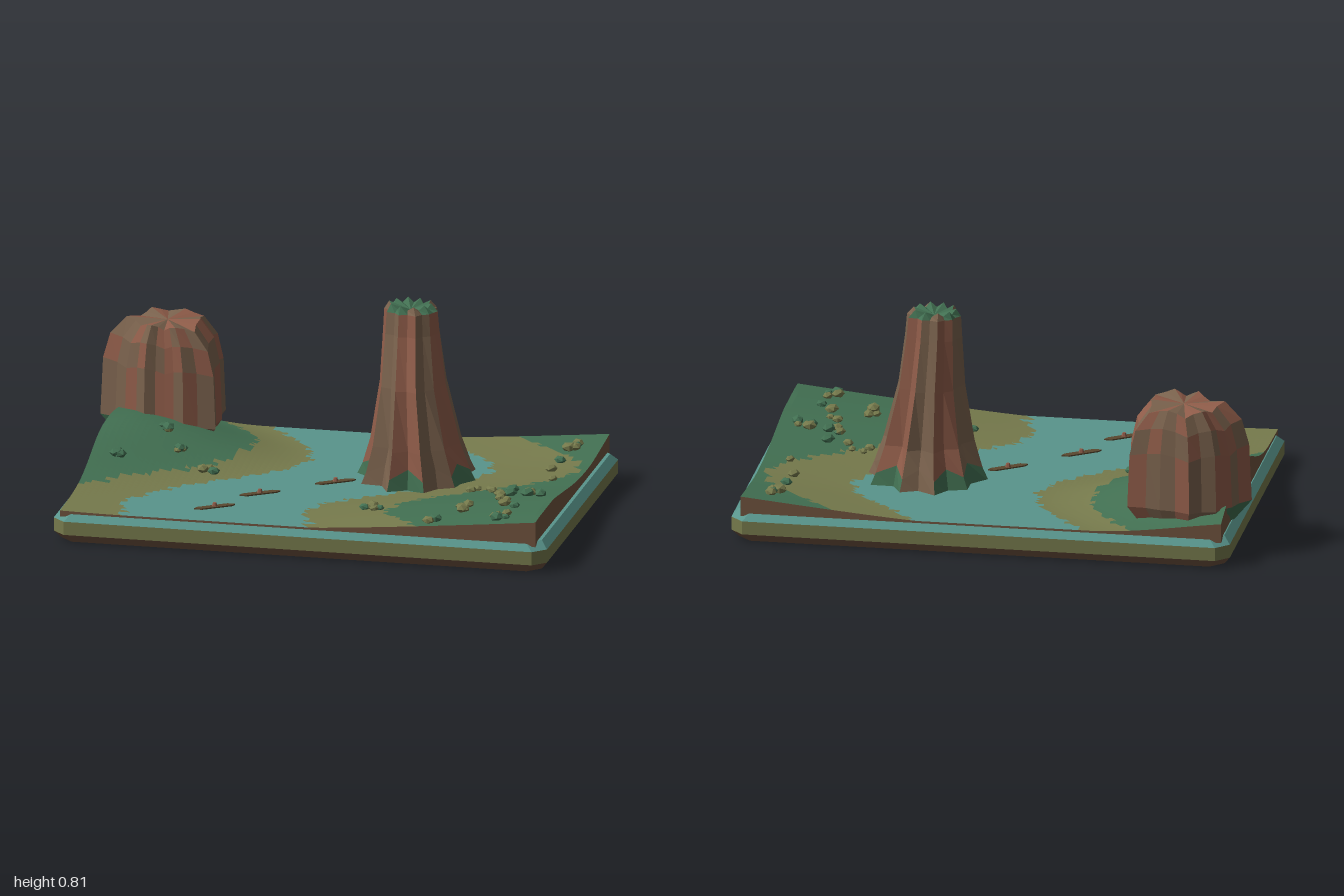
import * as THREE from 'three';

const mat = (name, color) => {
  const m = new THREE.MeshStandardMaterial({ color, flatShading: true });
  m.name = name;
  return m;
};
const water = mat('water teal', 0x59958c), grass = mat('grass green', 0x427052), sand = mat('bank olive', 0x767a4c);
const earth = mat('earth brown', 0x70533f), wood = mat('wood brown', 0x5a482f);
const rockRed = mat('rock red', 0x8f5c49), rockBrown = mat('rock brown', 0x7a624d);

let seed = 11;
const rand = () => (seed = (seed * 16807) % 2147483647) / 2147483647;
const V = (x, y, z) => new THREE.Vector3(x, y, z);

// Collects faces per material and turns them into one faceted mesh
class Facets {
  constructor() { this.faces = new Map(); }
  tri(m, ...pts) {
    if (!this.faces.has(m)) this.faces.set(m, []);
    for (const p of pts) this.faces.get(m).push(p.x, p.y, p.z);
  }
  quad(m, a, b, c, d) { this.tri(m, a, b, c); this.tri(m, a, c, d); }
  // Skin between rings of points, from bottom to top
  loft(rings, pick) {
    for (let i = 0; i < rings.length - 1; i++) {
      const lo = rings[i], up = rings[i + 1], n = lo.length;
      for (let j = 0; j < n; j++) {
        const k = (j + 1) % n;
        this.quad(pick(i, j), lo[j], up[j], up[k], lo[k]);
      }
    }
  }
  cap(ring, center, pick, top) {
    ring.forEach((p, j) => {
      const q = ring[(j + 1) % ring.length];
      this.tri(pick(j), center, top ? q : p, top ? p : q);
    });
  }
  mesh(name) {
    const g = new THREE.BufferGeometry(), all = [], mats = [];
    for (const [m, list] of this.faces) {
      g.addGroup(all.length / 3, list.length / 3, mats.length);
      mats.push(m);
      for (const v of list) all.push(v);
    }
    g.setAttribute('position', new THREE.Float32BufferAttribute(all, 3));
    g.computeVertexNormals();
    const mesh = new THREE.Mesh(g, mats);
    mesh.name = name;
    return mesh;
  }
}

// Bank lines: x of each colour boundary along z, evenly spaced from back to front
const X0 = -0.92, X1 = 0.96, Z = 0.647;
const line = xs => {
  const c = new THREE.CatmullRomCurve3(xs.map((x, i) => V(x, 0, i)));
  return z => c.getPoint(THREE.MathUtils.clamp((z + Z) / (2 * Z), 0, 1)).x;
};
const leftGrass = line([-0.58, -0.42, -0.37, -0.4, -0.5, -0.72, -0.9, -1.02, -1.05]);
const leftWater = line([-0.4, -0.24, -0.15, -0.16, -0.3, -0.48, -0.63, -0.7, -0.67]);
const rightWater = line([0.27, 0.43, 0.57, 0.56, 0.44, 0.24, 0.06, 0.02, 0.07]);
const rightGrass = line([0.58, 0.78, 0.91, 0.9, 0.73, 0.52, 0.36, 0.35, 0.5]);

function groundHeight(x, z) {
  const l = leftWater(z) - x, r = x - rightWater(z);
  if (l > 0) return 0.12 + 0.135 * THREE.MathUtils.smoothstep(l, 0, 0.72) * Math.exp(-(((z + 0.2) / 0.55) ** 2));
  if (r > 0) return 0.12 + 0.082 * Math.pow(Math.min(r / 0.92, 1), 1.15);
  return 0.12;
}

// Base slab with cut corners and bevelled top and bottom edges
function plinth() {
  const f = new Facets();
  const ring = ([y, inset]) => {
    const a = 0.975 - inset, b = 0.67 - inset, c = 0.05;
    return [[a, -b + c], [a, b - c], [a - c, b], [-a + c, b], [-a, b - c], [-a, -b + c], [-a + c, -b], [a - c, -b]]
      .map(([x, z]) => V(x + 0.025, y, z));
  };
  const rings = [[0, 0.026], [0.033, 0], [0.086, 0], [0.115, 0.026]].map(ring);
  f.loft(rings, i => [earth, sand, water][i]);
  f.cap(rings[0], V(0.025, 0, 0), () => earth, false);
  f.cap(rings[3], V(0.025, 0.115, 0), () => water, true);
  return f.mesh('plinth');
}

function terrain() {
  const f = new Facets(), nx = 84, nz = 56;
  const P = (i, j) => {
    const x = X0 + (X1 - X0) * i / nx, z = -Z + 2 * Z * j / nz;
    return V(x, groundHeight(x, z), z);
  };
  const grid = Array.from({ length: nx + 1 }, (_, i) => Array.from({ length: nz + 1 }, (_, j) => P(i, j)));
  // Ragged offset of the bank lines in each row
  const teeth = Array.from({ length: nz }, () => (rand() - 0.5) * 0.05);
  const face = (j, a, b, c) => {
    const x = (a.x + b.x + c.x) / 3 + teeth[j], z = (a.z + b.z + c.z) / 3;
    const m = x < leftGrass(z) || x > rightGrass(z) ? grass : x < leftWater(z) || x > rightWater(z) ? sand : water;
    f.tri(m, a, b, c);
  };
  for (let i = 0; i < nx; i++) for (let j = 0; j < nz; j++) {
    const a = grid[i][j], b = grid[i + 1][j], c = grid[i + 1][j + 1], d = grid[i][j + 1];
    face(j, a, d, c);
    face(j, a, c, b);
  }
  // Cut earth walls around the edge
  const low = p => V(p.x, 0.1, p.z);
  const wall = (a, b) => f.quad(earth, low(a), low(b), b, a);
  for (let i = 0; i < nx; i++) {
    wall(grid[i][nz], grid[i + 1][nz]);
    wall(grid[i + 1][0], grid[i][0]);
  }
  for (let j = 0; j < nz; j++) {
    wall(grid[nx][j + 1], grid[nx][j]);
    wall(grid[0][j], grid[0][j + 1]);
  }
  return f.mesh('riverValley');
}

// Tall fluted spire standing at the river bend
function spire() {
  const f = new Facets(), n = 20;
  // height, x radius, z radius, centre x, centre z
  const levels = [[0.11, 0.23, 0.235, 0.325, -0.115], [0.165, 0.205, 0.215, 0.325, -0.11], [0.27, 0.172, 0.19, 0.322, -0.1],
    [0.5, 0.126, 0.148, 0.308, -0.11], [0.7, 0.108, 0.1, 0.297, -0.13], [0.785, 0.102, 0.086, 0.295, -0.132], [0.815, 0.08, 0.068, 0.29, -0.135]];
  const wobble = Array.from({ length: n }, () => 0.96 + rand() * 0.12);
  const rings = levels.map(([y, rx, rz, cx, cz], i) => wobble.map((w, j) => {
    const a = j / n * Math.PI * 2, s = w * (j % 2 ? (i < 3 ? 0.8 : 0.87) : 1);
    const dy = i === 6 && j % 2 ? -0.018 : i === 1 && j % 2 ? 0.035 : 0;
    return V(cx + Math.cos(a) * s * rx, y + dy, cz + Math.sin(a) * s * rz);
  }));
  f.loft(rings, (i, j) => i === 5 ? (j % 5 < 3 ? grass : rockBrown)
    : i === 0 && (j % 4 < 2 || j === 10 || j === 11) ? grass : j % 4 < 2 ? rockRed : rockBrown);
  f.cap(rings[6], V(0.29, 0.785, -0.135), () => grass, true);
  return f.mesh('rockSpire');
}

// Broad butte in the back corner
function butte() {
  const f = new Facets();
  const corners = [[0.215, 0], [0.22, 0.14], [0.1, 0.17], [0.02, 0.145], [-0.06, 0.155], [-0.15, 0.09], [-0.26, 0.03],
    [-0.2, -0.07], [-0.15, -0.14], [-0.05, -0.18], [0.07, -0.15], [0.2, -0.13]];
  // Shallow flutes between the corners
  const outline = corners.flatMap((p, j) => {
    const q = corners[(j + 1) % corners.length];
    return [p, [(p[0] + q[0]) * 0.475, (p[1] + q[1]) * 0.475]];
  });
  const levels = [[0.12, 0.74, 0.8], [0.2, 1, 1], [0.42, 0.96, 0.97], [0.52, 0.85, 0.93], [0.59, 0.6, 0.82]];
  const rings = levels.map(([y, sx, sz], i) => outline.map(([x, z], j) =>
    V(-0.74 + x * sx, y + (i > 1 ? [0.008, 0, -0.012, 0][j % 4] : 0), -0.44 + z * sz)));
  const pattern = [rockRed, rockBrown, rockBrown, rockRed, rockBrown, rockRed, rockRed, rockBrown, rockBrown];
  f.loft(rings, (i, j) => i === 0 && j > 9 && j < 16 ? grass : pattern[(j + (i === 2 ? 1 : 0)) % 9]);
  f.cap(rings[0], V(-0.74, 0.12, -0.44), () => grass, false);
  f.cap(rings[4], V(-0.74, 0.588, -0.44), j => j % 4 < 2 ? rockRed : rockBrown, true);
  return f.mesh('rockButte');
}

function bushes() {
  const g = new THREE.Group();
  g.name = 'bushes';
  const ball = new THREE.IcosahedronGeometry(1, 0);
  // x, z, how many in the clump
  const clumps = [[0.87, -0.52, 4], [0.83, -0.36, 1], [0.82, -0.25, 1], [0.86, -0.1, 1], [0.6, 0.08, 2], [0.69, 0.1, 2], [0.75, 0.12, 1],
    [0.72, 0.21, 4], [0.86, 0.22, 4], [0.75, 0.3, 2], [0.25, 0.42, 4], [0.61, 0.42, 2], [0.67, 0.46, 2], [0.81, 0.41, 3],
    [0.79, 0.56, 4], [0.57, 0.6, 2], [-0.71, -0.16, 4], [-0.62, -0.07, 4], [-0.49, 0.03, 3], [-0.81, 0.08, 2]];
  for (const [cx, cz, n] of clumps) for (let i = 0; i < n; i++) {
    const x = cx + (n > 1 ? (rand() - 0.5) * 0.085 : 0), z = cz + (n > 1 ? (rand() - 0.5) * 0.06 : 0);
    const r = 0.015 + rand() * 0.013;
    const b = new THREE.Mesh(ball, rand() < 0.5 ? grass : sand);
    b.name = 'bush';
    b.position.set(x, groundHeight(x, z) + r * 0.4, z);
    b.scale.set(r * 1.15, r * 0.75, r);
    b.rotation.y = rand() * 6;
    g.add(b);
  }
  return g;
}

// Slim boat with one seated rower
function boat(x, z) {
  const g = new THREE.Group();
  g.name = 'boat';
  const s = new THREE.Shape([[-0.084, 0.004], [-0.06, -0.015], [0.066, -0.015], [0.084, -0.004], [0.06, 0.015], [-0.066, 0.015]]
    .map(p => new THREE.Vector2(...p)));
  const hull = new THREE.Mesh(new THREE.ExtrudeGeometry(s, { depth: 0.007, bevelEnabled: false }).rotateX(-Math.PI / 2), wood);
  hull.name = 'hull';
  const rower = new THREE.Mesh(new THREE.CylinderGeometry(0.007, 0.012, 0.016, 6), rockRed);
  rower.name = 'rower';
  rower.position.y = 0.013;
  g.add(hull, rower);
  g.position.set(x, 0.118, z);
  g.rotation.y = 0.62;
  return g;
}

export function createModel() {
  const model = new THREE.Group();
  model.name = 'riverDiorama';
  model.add(plinth(), terrain(), spire(), butte(), bushes());
  for (const [x, z] of [[0.03, 0.03], [-0.22, 0.245], [-0.35, 0.46]]) model.add(boat(x, z));
  return model;
}
